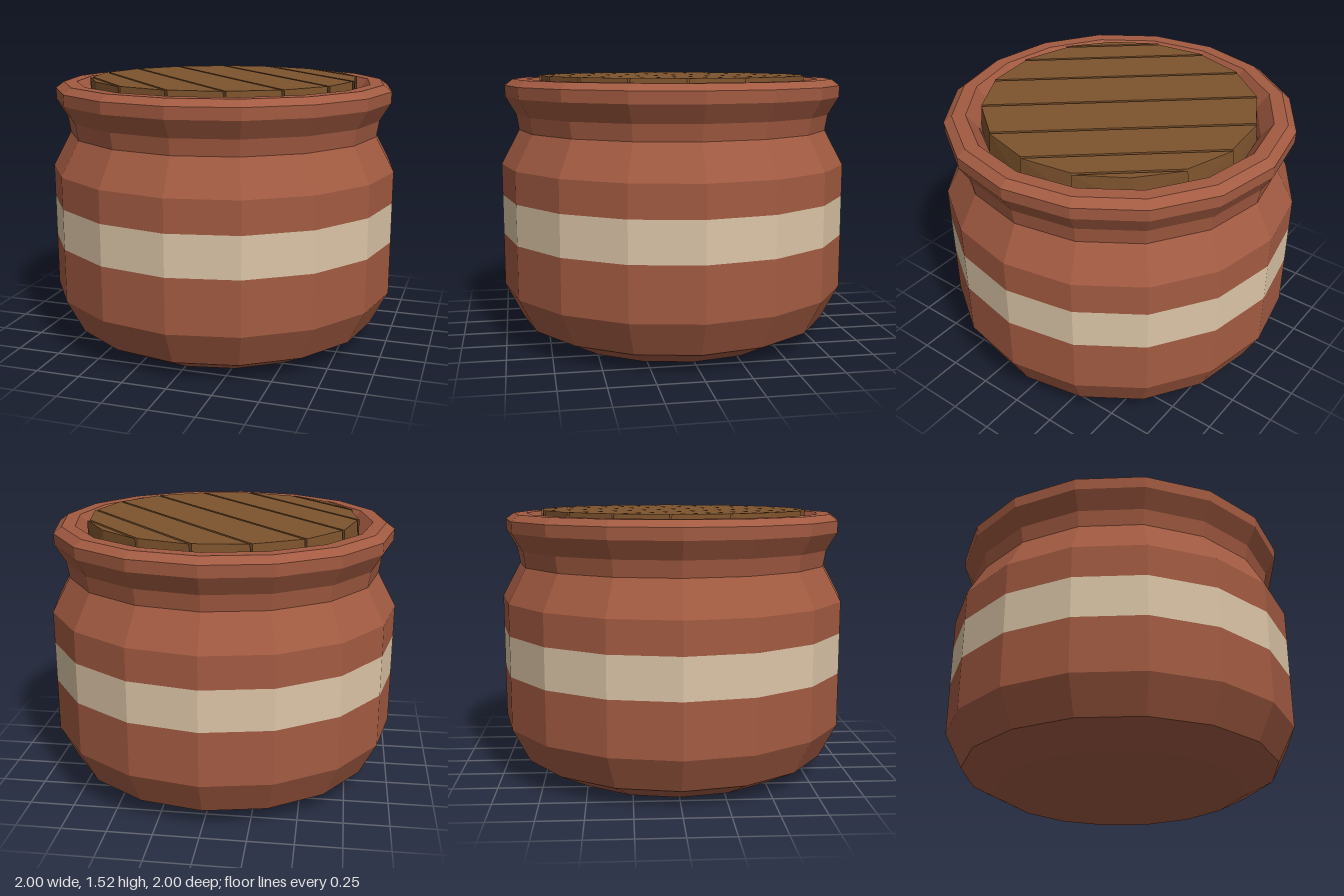
import * as THREE from 'three';
import { ConvexGeometry } from 'three/addons/geometries/ConvexGeometry.js';

const SIDES = 16;

export function createModel() {
  const pot = new THREE.Group();
  pot.name = 'pot';

  const clay = new THREE.MeshStandardMaterial({ color: 0xa35b42 });
  clay.name = 'clay';
  const cream = new THREE.MeshStandardMaterial({ color: 0xdcc5a7 });
  cream.name = 'cream';
  const wood = new THREE.MeshStandardMaterial({ color: 0x7d532d });
  wood.name = 'wood';

  // Faceted turned section from [radius, height] pairs
  function turned(name, profile, material) {
    const points = profile.map(([r, y]) => new THREE.Vector2(r, y));
    const geometry = new THREE.LatheGeometry(points, SIDES).toNonIndexed();
    geometry.computeVertexNormals();
    const mesh = new THREE.Mesh(geometry, material);
    mesh.name = name;
    pot.add(mesh);
  }

  turned('lowerBody', [[0, 0], [0.7, 0], [0.9, 0.105], [1, 0.3], [1, 0.605]], clay);
  turned('paintedBand', [[1, 0.605], [1, 0.835]], cream);
  // Shoulder, neck, flared rim and the recess that holds the lid
  turned('upperBodyAndRim', [
    [1, 0.835], [1, 1.015], [0.895, 1.21], [0.91, 1.3], [0.97, 1.4], [0.972, 1.465],
    [0.925, 1.5], [0.85, 1.5], [0.785, 1.42], [0.77, 1.38], [0, 1.38],
  ], clay);

  // Lid: eight planks cut corner to corner across a 16-sided disc
  const lid = new THREE.Group();
  lid.name = 'lid';
  const radius = 0.775, bottom = 1.385, top = 1.52, bevel = 0.008;
  for (let k = -4; k < 4; k++) {
    const corners = [];
    for (const [step, inward] of [[k, 1], [k + 1, -1]]) {
      const angle = (step * Math.PI) / 8;
      const across = radius * Math.sin(angle);
      const along = Math.max(radius * Math.cos(angle), 0.02);
      for (const end of [-1, 1]) {
        corners.push(new THREE.Vector3(across + inward * 0.002, bottom, end * along));
        corners.push(new THREE.Vector3(across + inward * bevel, top, end * (along - 0.012)));
      }
    }
    const plank = new THREE.Mesh(new ConvexGeometry(corners), wood);
    plank.name = 'lidPlank';
    lid.add(plank);
  }
  lid.rotation.y = THREE.MathUtils.degToRad(40.6);
  pot.add(lid);

  return pot;
}
